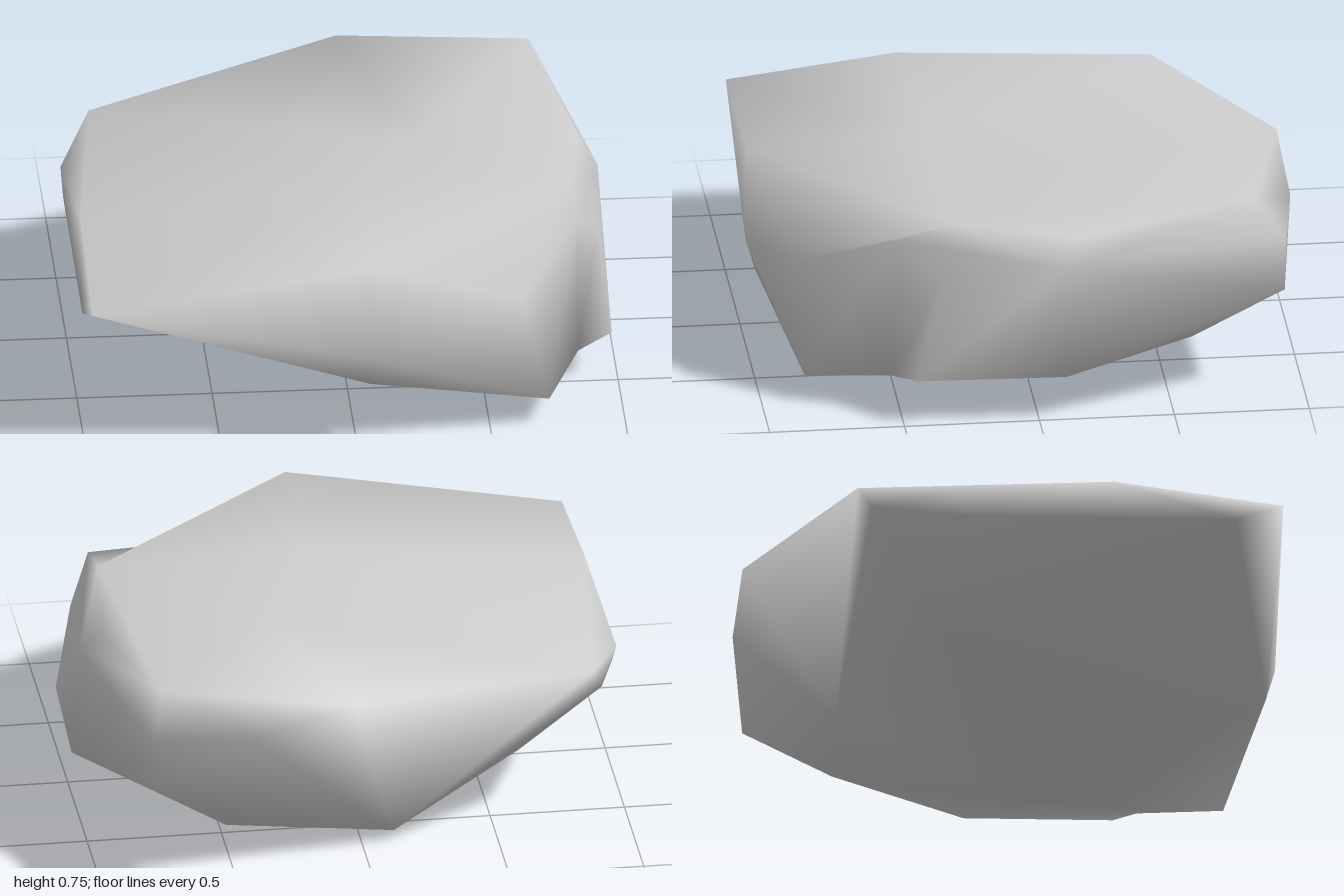
import * as THREE from 'three';
import { mergeVertices } from 'three/addons/utils/BufferGeometryUtils.js';
import { ConvexGeometry } from 'three/addons/geometries/ConvexGeometry.js';

// Corners of the boulder: x, y, z, then an optional outward push and lift.
// Pushed or lifted corners stand out while the skin is wrapped, so that
// shallow hollows can be pulled back in afterwards.
const topCorners = [
  [0.05, 0.755, 0.3, 1, 0.09], [0.3, 0.686, -0.16, 1, 0.16], [0.9, 0.685, -0.16, 1.05, 0.06],
  [0.845, 0.735, 0.29, 1.05, 0.07], [0.77, 0.755, -0.83, 1.04], [0.05, 0.73, 0.98],
  [0.07, 0.72, -0.98], [-0.87, 0.625, -0.62], [-0.97, 0.635, 0.32],
];
const sideCorners = [
  // front, with the notched corner
  [-0.975, 0.555, 0.945], [0.05, 0.36, 0.985], [0.05, 0.24, 0.95],
  [0.62, 0.52, 0.86, 1, 0.2], [0.72, 0.1, 0.84], [0.85, 0.68, 0.52, 1.06, 0.07],
  // left end
  [-1, 0.48, 0.77], [-1, 0.56, -0.29], [-0.995, 0.47, -0.22], [-0.905, 0.535, -0.57],
  // right end
  [0.85, 0.14, 0.53, 1.08], [0.94, 0.55, 0.35, 1.08], [0.98, 0.17, 0.45],
  [0.97, 0.59, -0.1, 1.08], [1, 0.17, -0.1],
  // back
  [0.45, 0.62, -0.99], [0.81, 0.61, -0.935], [0.81, 0.4, -0.93],
];
const bottomCorners = [
  [0.48, 0, 0.1], [0.6, 0.035, 0.42], [-0.12, 0.04, -0.65],
  [-0.64, 0.15, -0.27], [0.5, 0.09, -0.62],
];

// Wraps a skin round the pushed corners, then returns each corner to its place
function wrapCorners(corners) {
  const centre = new THREE.Vector3(0, 0.4, 0);
  const places = corners.map(([x, y, z]) => new THREE.Vector3(x, y, z));
  const pushed = corners.map(([, , , push = 1, lift = 0], i) => {
    const p = places[i].clone().sub(centre).multiplyScalar(push).add(centre);
    p.y += lift;
    return p;
  });
  let geometry = new ConvexGeometry(pushed);
  const position = geometry.attributes.position;
  const v = new THREE.Vector3();
  for (let i = 0; i < position.count; i++) {
    v.fromBufferAttribute(position, i);
    let best = 0;
    pushed.forEach((p, j) => {
      if (p.distanceToSquared(v) < pushed[best].distanceToSquared(v)) best = j;
    });
    position.setXYZ(i, ...places[best].toArray());
  }
  // Shared corners give a smooth, worn surface
  geometry.deleteAttribute('normal');
  geometry = mergeVertices(geometry, 1e-4);
  geometry.computeVertexNormals();
  return geometry;
}

export function createModel() {
  const group = new THREE.Group();
  group.name = 'rock';
  const stone = new THREE.MeshStandardMaterial({ color: 0xcccccc });
  stone.name = 'stone grey';
  const boulder = new THREE.Mesh(
    wrapCorners([...topCorners, ...sideCorners, ...bottomCorners]), stone);
  boulder.name = 'boulder';
  group.add(boulder);
  return group;
}
